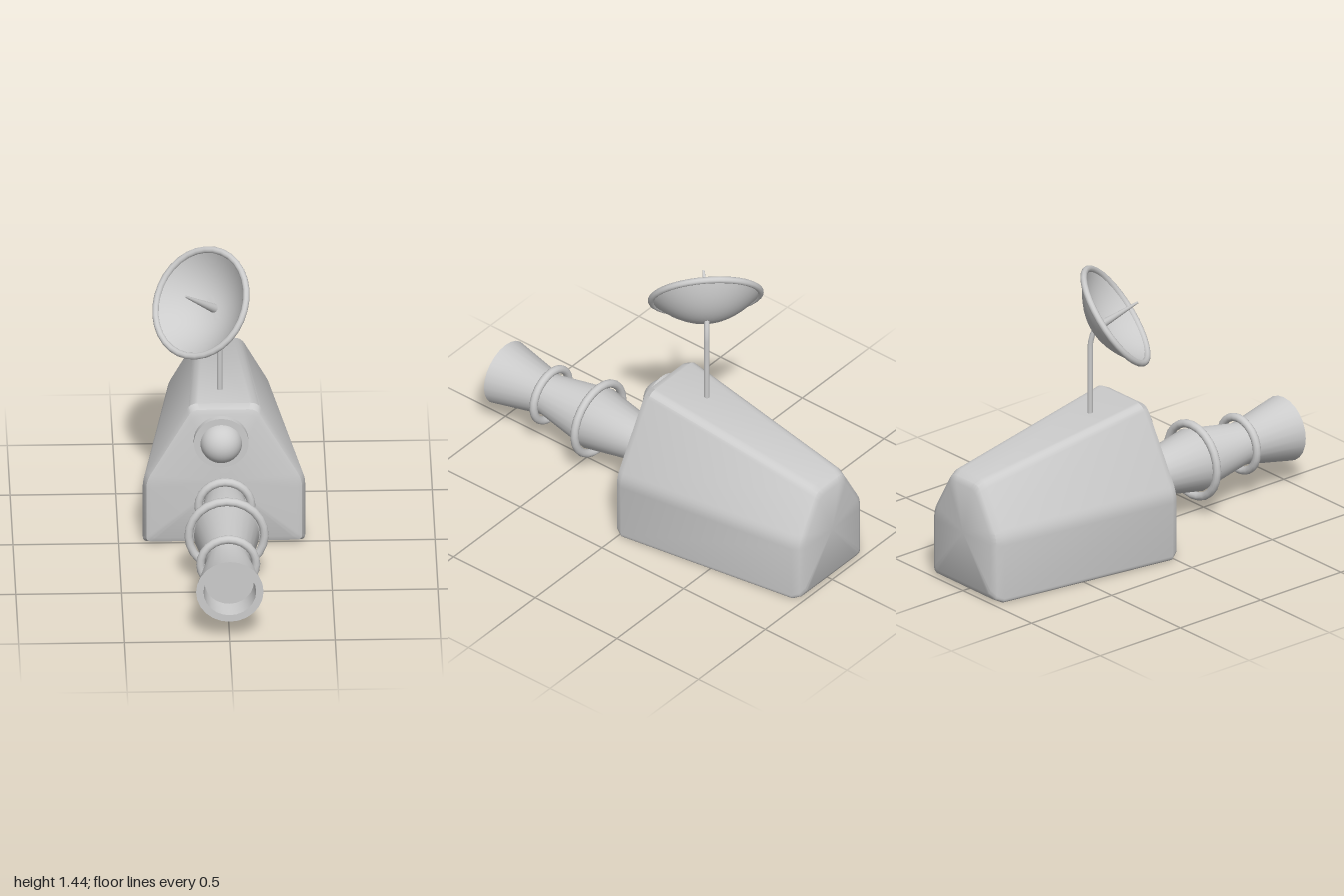
import * as THREE from 'three';
import { toCreasedNormals } from 'three/addons/utils/BufferGeometryUtils.js';

const material = new THREE.MeshStandardMaterial({ color: 0xcccccc });
const V = (x, y, z) => new THREE.Vector3(x, y, z);

function add(parent, name, geometry, x = 0, y = 0, z = 0) {
  const mesh = new THREE.Mesh(geometry, material);
  mesh.name = name;
  mesh.position.set(x, y, z);
  parent.add(mesh);
  return mesh;
}

const lathe = (points, sides, crease) => toCreasedNormals(
  new THREE.LatheGeometry(points.map(([r, h]) => new THREE.Vector2(r, h)), sides), crease);

// Six-sided hull outline with rounded corners, counterclockwise seen from the front
function hullSection({ z, w, top, height, inset }) {
  const half = [[w - inset, inset, 0.025], [w - inset, 0.34, 0.04], [top - inset * 0.5, height - inset, 0.035]];
  const corners = [...half, ...half.map(([x, y, r]) => [-x, y, r]).reverse()];
  const ring = [];
  corners.forEach(([x, y, r], i) => {
    const c = V(x, y, z);
    const prev = corners[(i + 5) % 6], next = corners[(i + 1) % 6];
    const a = V(prev[0], prev[1], z).sub(c).setLength(r).add(c);
    const b = V(next[0], next[1], z).sub(c).setLength(r).add(c);
    ring.push(...new THREE.QuadraticBezierCurve3(a, c, b).getPoints(4));
  });
  return ring;
}

// Tapered hull lofted from front to back, closed by flat ends
function hullGeometry() {
  const front = { w: 0.385, top: 0.16, height: 0.735 };
  const back = { w: 0.245, top: 0.105, height: 0.59 };
  const rings = [
    { ...front, z: 0.025, inset: 0.04 },
    { ...front, z: 0.015, inset: 0.016 },
    { ...front, z: -0.02, inset: 0 },
    { ...back, z: -0.95, inset: 0 },
    { ...back, z: -0.985, inset: 0.018 },
    { ...back, z: -1, inset: 0.045 },
  ].map(hullSection);
  const n = rings[0].length;
  const points = rings.flat();
  const last = (rings.length - 1) * n;
  const frontCentre = points.push(V(0, 0.34, 0.025)) - 1;
  const backCentre = points.push(V(0, 0.3, -1)) - 1;
  const index = [];
  for (let j = 0; j < n; j++) {
    const k = (j + 1) % n;
    for (let r = 0; r < last; r += n) {
      index.push(r + j, r + n + j, r + n + k, r + j, r + n + k, r + k);
    }
    index.push(frontCentre, j, k, backCentre, last + k, last + j);
  }
  const geometry = new THREE.BufferGeometry().setFromPoints(points);
  geometry.setIndex(index);
  return toCreasedNormals(geometry, 0.6);
}

export function createModel() {
  const model = new THREE.Group();
  model.name = 'spacecraft';
  add(model, 'hull', hullGeometry());

  // Front window: dome on a round plate
  const plate = new THREE.CylinderGeometry(0.13, 0.13, 0.045, 32).rotateX(Math.PI / 2);
  add(model, 'domePlate', plate, -0.015, 0.56, 0.033);
  add(model, 'dome', new THREE.SphereGeometry(0.1, 32, 20), -0.015, 0.558, 0.04);

  // Long flared barrel with a recessed mouth
  const barrel = new THREE.Group();
  barrel.name = 'barrel';
  barrel.position.y = 0.265;
  model.add(barrel);
  const profile = [[0.09, -0.02], [0.1, 0.13], [0.155, 0.43], [0.103, 0.72], [0.16, 1],
    [0.125, 1], [0.117, 0.9], [0, 0.9]];
  add(barrel, 'barrelTube', lathe(profile, 24, 0.5).rotateX(Math.PI / 2));
  for (const [z, radius] of [[0.13, 0.125], [0.43, 0.18], [0.72, 0.132]]) {
    add(barrel, 'barrelRing', new THREE.TorusGeometry(radius, 0.02, 12, 24), 0, 0, z);
  }

  // Mast bending towards the back of the dish
  const mast = new THREE.CurvePath();
  mast.add(new THREE.LineCurve3(V(-0.015, 0.66, -0.22), V(-0.015, 1.035, -0.22)));
  mast.add(new THREE.QuadraticBezierCurve3(
    V(-0.015, 1.035, -0.22), V(-0.015, 1.085, -0.22), V(-0.035, 1.142, -0.205)));
  add(model, 'mast', new THREE.TubeGeometry(mast, 40, 0.013, 12));

  // Dish, built along +y and tilted up, forward and to the right
  const dish = new THREE.Group();
  dish.name = 'dish';
  dish.position.set(-0.106, 1.21, -0.14);
  dish.quaternion.setFromUnitVectors(V(0, 1, 0), V(-1, 1, 1).normalize());
  model.add(dish);
  const radius = 0.262, depth = 0.125, steps = 10;
  const bowl = [];
  for (let i = 0; i <= steps; i++) {
    const t = i / steps;
    bowl.push([radius * t, depth * (t * t - 1)]);
  }
  for (let i = steps; i >= 0; i--) {
    const t = i / steps;
    bowl.push([(radius - 0.012) * t, depth * (t * t - 1) + 0.012 * (1 - t)]);
  }
  add(dish, 'bowl', lathe(bowl, 32, 0.7));
  add(dish, 'rim', new THREE.TorusGeometry(0.26, 0.016, 10, 32).rotateX(Math.PI / 2));
  add(dish, 'feedHorn', new THREE.CylinderGeometry(0.005, 0.022, 0.24, 16), 0, 0.01, 0);
  return model;
}
